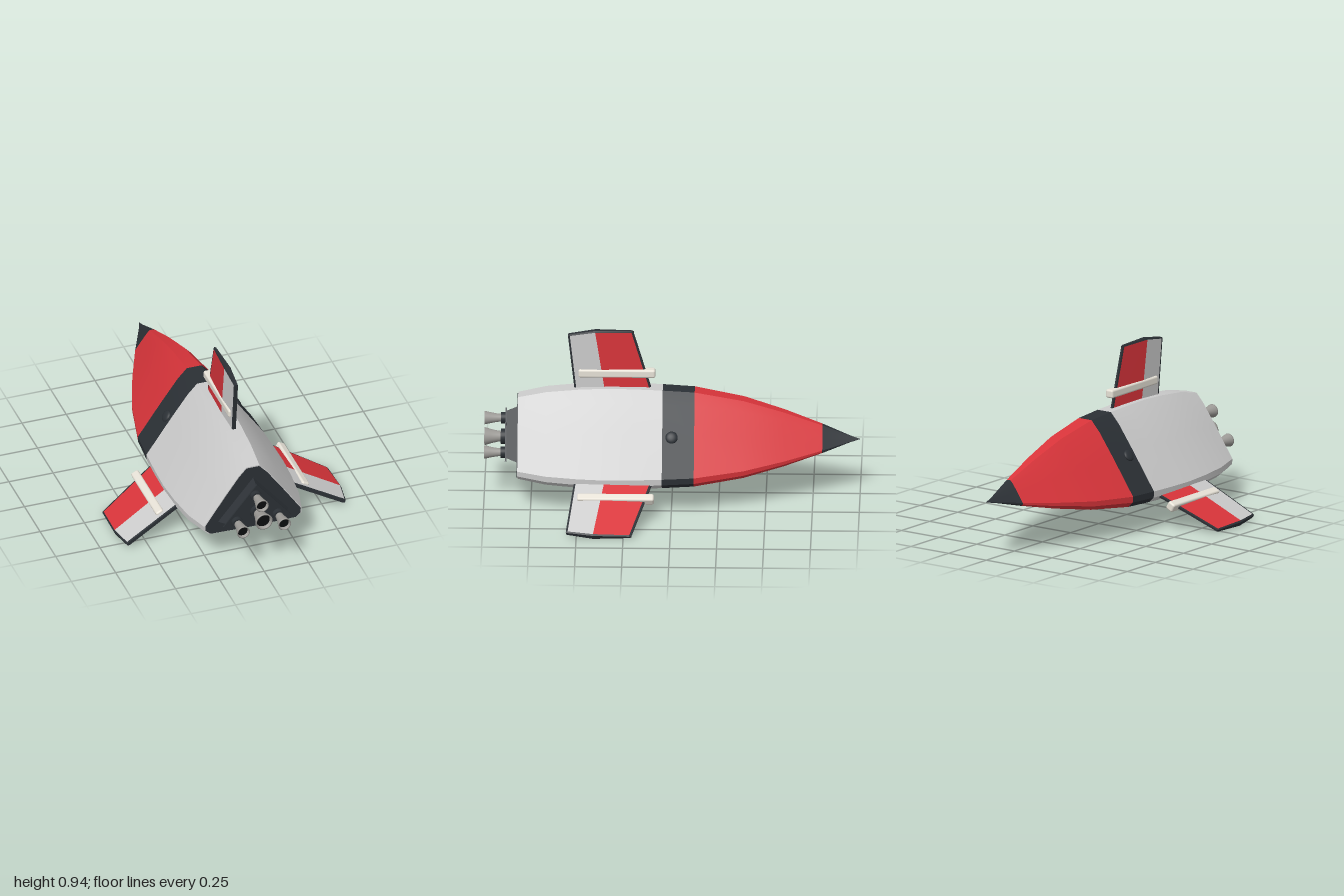
import * as THREE from 'three';
import { toCreasedNormals } from 'three/addons/utils/BufferGeometryUtils.js';
import { RoundedBoxGeometry } from 'three/addons/geometries/RoundedBoxGeometry.js';

const paint = (color, side = THREE.FrontSide) => new THREE.MeshStandardMaterial({ color, side });
const GREY = paint(0xcccccc), RED = paint(0xd8343a), DARK = paint(0x2b3035);
const WHITE = paint(0xe6e1d6), BLACK = paint(0x0c0d0e);
const METAL = paint(0x9c9a96, THREE.DoubleSide);
const AXIS_Y = 0.325;

function part(name, geometry, material, parent) {
  const mesh = new THREE.Mesh(geometry, material);
  mesh.name = name;
  parent.add(mesh);
  return mesh;
}

// Skin through rings of [x, y, z] points (counter-clockwise around the path), capped at both ends
function loft(rings, crease = 0.5) {
  const pos = [];
  const tri = (a, b, c) => pos.push(...a, ...b, ...c);
  const n = rings[0].length;
  const mid = ring => [0, 1, 2].map(k => ring.reduce((s, p) => s + p[k], 0) / n);
  const first = rings[0], last = rings[rings.length - 1];
  for (let j = 0; j < n; j++) {
    const k = (j + 1) % n;
    for (let i = 0; i < rings.length - 1; i++) {
      const a = rings[i], b = rings[i + 1];
      tri(a[j], a[k], b[k]);
      tri(a[j], b[k], b[j]);
    }
    tri(mid(first), first[k], first[j]);
    tri(mid(last), last[j], last[k]);
  }
  const g = new THREE.BufferGeometry();
  g.setAttribute('position', new THREE.Float32BufferAttribute(pos, 3));
  return toCreasedNormals(g, crease);
}

// Rounded triangular hull section, left half from top to bottom, then mirrored
const half = [[0.045, 0.3], [0.1, 0.24], [0.2, 0.1], [0.34, -0.105], [0.338, -0.14], [0.305, -0.17]];
const section = [
  ...half.map(([x, y]) => [-x, y]), [0, -0.176],
  ...half.slice().reverse(),
];
const hullRing = ([z, s]) => section.map(([x, y]) => [x * s, AXIS_Y + y * s, z]);

function addHull(parent) {
  const zones = [
    ['noseTip', DARK, [[-1, 0.004], [-0.95, 0.06], [-0.8, 0.275]]],
    ['noseCone', RED, [[-0.8, 0.275], [-0.6, 0.53], [-0.38, 0.765], [-0.12, 0.935]]],
    ['hullBand', DARK, [[-0.12, 0.935], [0.05, 0.97]]],
    ['hull', GREY, [[0.05, 0.97], [0.2, 0.99], [0.35, 1], [0.5, 0.975], [0.67, 0.92], [0.82, 0.81]]],
    ['rearPlate', DARK, [[0.81, 0.79], [0.824, 0.79]]],
  ];
  for (const [name, material, stations] of zones) {
    part(name, loft(stations.map(hullRing), 0.6), material, parent);
  }
  // One round window on each hull face
  const windows = [[0.2, 0.412, 0.965], [-0.2, 0.412, -0.965], [0, 0.154, Math.PI]];
  for (const [x, y, turn] of windows) {
    const w = part('window', new THREE.SphereGeometry(0.033, 20, 12), DARK, parent);
    w.scale.set(1, 0.4, 1);
    w.position.set(x, y, 0);
    w.rotation.z = -turn;
  }
}

// Triangular engine block with a flange and four bell nozzles
function addEngines(parent) {
  const group = new THREE.Group();
  group.name = 'engines';
  parent.add(group);
  const triangle = (z, s) => [[0, 0.5], [-0.2, 0.258], [0.2, 0.258]]
    .map(([x, y]) => [x * s, 0.34 + (y - 0.34) * s, z]);
  part('engineBlock', loft([triangle(0.82, 1), triangle(0.88, 0.84)]), DARK, group);
  part('engineFlange', loft([triangle(0.88, 0.95), triangle(0.888, 0.95)]), DARK, group);
  const nozzles = [[0, AXIS_Y, 0.048], [-0.01, 0.428, 0.036], [-0.116, 0.283, 0.036], [0.116, 0.283, 0.036]];
  for (const [x, y, r] of nozzles) {
    const nozzle = new THREE.Group();
    nozzle.name = 'nozzle';
    nozzle.position.set(x, y, 0.88);
    nozzle.rotation.x = Math.PI / 2;
    group.add(nozzle);
    const collar = part('collar', new THREE.CylinderGeometry(r * 0.85, r * 0.85, 0.035, 24), DARK, nozzle);
    collar.position.y = 0.015;
    const bell = [[0.55, 0.02], [0.62, 0.05], [0.8, 0.085], [0.97, 0.112], [1, 0.12], [0.86, 0.12], [0.78, 0.1]]
      .map(([k, h]) => new THREE.Vector2(r * k, h));
    part('bell', new THREE.LatheGeometry(bell, 28), METAL, nozzle);
    const throat = part('throat', new THREE.CylinderGeometry(r * 0.8, r * 0.5, 0.07, 24), BLACK, nozzle);
    throat.position.y = 0.067;
  }
}

// Fin grows along +y from its root; columns run from leading to trailing edge
function makeFin(name, podHeight) {
  const fin = new THREE.Group();
  fin.name = name;
  // half thickness, z at root, z at tip, tip height
  const columns = [
    [0.005, 0.095, 0.205, 0.322],
    [0.008, 0.107, 0.217, 0.325],
    [0.0175, 0.352, 0.41, 0.327],
    [0.011, 0.505, 0.545, 0.305],
    [0.009, 0.515, 0.555, 0.302],
  ];
  const panels = [['leadingEdge', DARK], ['frontPanel', RED], ['rearPanel', GREY], ['trailingEdge', DARK]];
  panels.forEach(([label, material], i) => {
    const a = columns[i], b = columns[i + 1];
    const corners = [[b, 1], [a, 1], [a, -1], [b, -1]];
    const root = corners.map(([c, s]) => [c[0] * s, -0.05, c[1]]);
    const tip = corners.map(([c, s]) => [c[0] * s, c[3], c[2]]);
    const cap = corners.map(([c, s]) => [c[0] * s * 0.7, c[3] + 0.009, c[2]]);
    part(label, loft([root, tip]), material, fin);
    part('tipTrim', loft([tip, cap]), DARK, fin);
  });
  const pod = part('finPod', new RoundedBoxGeometry(0.048, 0.046, 0.41, 3, 0.011), WHITE, fin);
  pod.position.set(0, podHeight, 0.295);
  return fin;
}

export function createModel() {
  const ship = new THREE.Group();
  ship.name = 'rocketShip';
  addHull(ship);
  addEngines(ship);

  const topFin = makeFin('topFin', 0.09);
  topFin.position.y = 0.61;
  ship.add(topFin);
  for (const [name, side] of [['leftFin', 1], ['rightFin', -1]]) {
    const fin = makeFin(name, 0.075);
    fin.position.set(0.339 * side, 0.177, 0);
    fin.rotation.z = -side * THREE.MathUtils.degToRad(118);
    ship.add(fin);
  }
  return ship;
}
